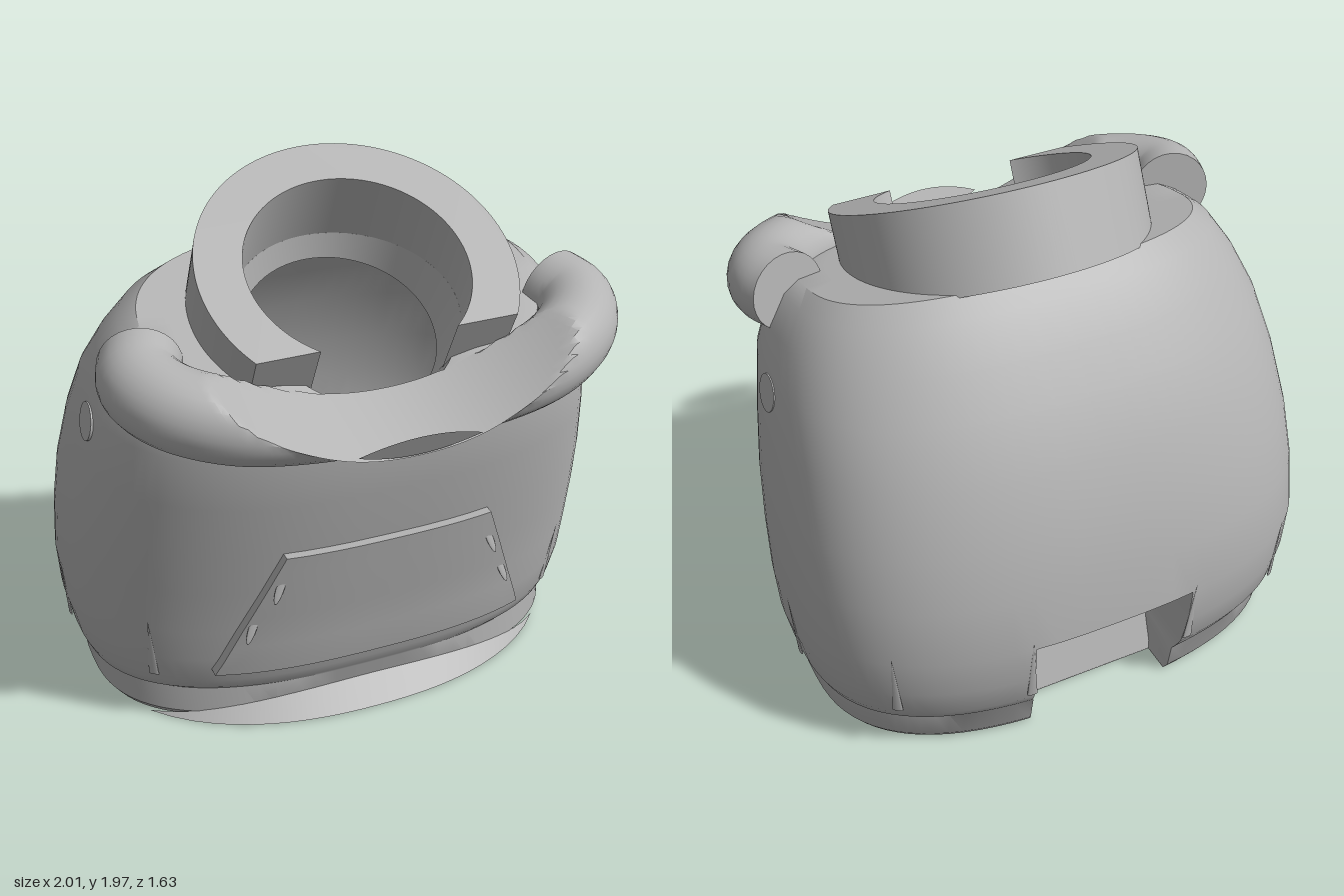
import * as THREE from 'three';
import { toCreasedNormals } from 'three/addons/utils/BufferGeometryUtils.js';

const grey = new THREE.MeshStandardMaterial({ color: 0xb4b4b4, side: THREE.DoubleSide });
grey.name = 'plain grey';

const COLS = 84, POWER = 2.6, NOTCH = 3, NOTCH_ROW = 6;

// Body cross-sections: half width, front z, front y, back z, back y
const LEVELS = [
  [.90, .37, 0, -.70, 0], [.92, .39, .03, -.72, .03], [.92, .39, .14, -.74, .14],
  [.945, .40, .155, -.75, .155], [.965, .42, .2, -.775, .2], [.99, .45, .32, -.80, .32],
  [1, .475, .46, -.815, .48], [.995, .52, .65, -.79, .7], [.98, .56, .83, -.74, .9],
  [.945, .61, 1.05, -.66, 1.13], [.905, .645, 1.25, -.56, 1.31], [.85, .645, 1.35, -.46, 1.46],
  [.78, .61, 1.42, -.36, 1.59], [.72, .57, 1.43, -.29, 1.65],
];
const V = (x, y, z) => new THREE.Vector3(x, y, z);
const spow = (v) => Math.sign(v) * Math.abs(v) ** (2 / POWER);

// Point on a cross-section; angle 0 is the back, growing towards +x
function sectionPoint([w, zf, yf, zb, yb], a) {
  const c = -spow(Math.cos(a));
  return V(w * spow(Math.sin(a)), (yf + yb) / 2 + c * (yf - yb) / 2, (zf + zb) / 2 + c * (zf - zb) / 2);
}
function levelAt(y) {
  let i = 0;
  while (i < LEVELS.length - 2 && (LEVELS[i + 1][2] + LEVELS[i + 1][4]) / 2 < y) i++;
  const mid = (l) => (l[2] + l[4]) / 2;
  const t = (y - mid(LEVELS[i])) / (mid(LEVELS[i + 1]) - mid(LEVELS[i]));
  return LEVELS[i].map((v, k) => v + (LEVELS[i + 1][k] - v) * t);
}
function frontZ(x, y) {
  const [w, zf, , zb] = levelAt(y);
  return (zf + zb) / 2 + (zf - zb) / 2 * (1 - Math.abs(x / w) ** POWER) ** (1 / POWER);
}

// Curved dip that lowers the neckline at the front
const dip = (x, z) => 1.325 + .2 * (x / .6) ** 2 - .36 * (z - .62);

// Skin over rows of points
function grid(rows, crease = .6, skip = () => false) {
  const W = rows[0].length, idx = [];
  for (let r = 0; r < rows.length - 1; r++) for (let j = 0; j < W - 1; j++) {
    if (skip(r, j)) continue;
    const a = r * W + j, b = a + W;
    idx.push(a, b, b + 1, a, b + 1, a + 1);
  }
  const g = new THREE.BufferGeometry().setFromPoints(rows.flat());
  g.setIndex(idx);
  return toCreasedNormals(g, crease);
}

// Tilted neck frame: u across, v forward, t down the bore
const TILT = .459, S = Math.sin(TILT), C = Math.cos(TILT);
const neckPoint = (u, v, t) => V(u, 1.72 - S * v - C * t, .257 + C * v - S * t);

export function createModel() {
  const model = new THREE.Group();
  const add = (name, geometry) => {
    const m = new THREE.Mesh(geometry, grey);
    m.name = name;
    model.add(m);
    return m;
  };
  const angles = Array.from({ length: COLS + 1 }, (_, j) => j / COLS * Math.PI * 2);

  // Body, slanted shoulder cap and neck bore in one skin
  const rows = LEVELS.map((l) => angles.map((a) => sectionPoint(l, a)));
  const rim = rows[rows.length - 1];
  const mouth = angles.map((a) => {
    const v = -.39 * Math.cos(a);
    return neckPoint(.39 * Math.sin(a), v, (.2098 - .214 * v) / 1.009);
  });
  for (const k of [.33, .67, 1]) rows.push(rim.map((p, j) => p.clone().lerp(mouth[j], k)));
  rows.push(angles.map((a) => neckPoint(.35 * Math.sin(a), -.35 * Math.cos(a), .38)));
  rows.slice(9).flat().forEach((p) => {
    if (p.z > 0) p.y = Math.min(p.y, dip(p.x, p.z) - .004);
  });
  add('body', grid(rows, .6, (r, j) => r < NOTCH_ROW && (j < NOTCH || j >= COLS - NOTCH)));

  // Recess at the lower back: sides, ceiling and sloping inner wall
  const at = (r, j) => rows[r][(j + COLS) % COLS].clone();
  const inner = (p) => V(p.x, p.y, -.58 + .33 * p.y);
  const edge = [];
  for (let r = 0; r < NOTCH_ROW; r++) edge.push(at(r, -NOTCH));
  for (let j = -NOTCH; j <= NOTCH; j++) edge.push(at(NOTCH_ROW, j));
  for (let r = NOTCH_ROW - 1; r >= 0; r--) edge.push(at(r, NOTCH));
  add('backRecessSides', grid([edge, edge.map(inner)]));
  const wall = [];
  for (let r = 0; r <= NOTCH_ROW; r++) wall.push([inner(at(r, -NOTCH)), inner(at(r, NOTCH))]);
  add('backRecessWall', grid(wall));

  // Base plate with the recess cut out and two round sockets
  const outline = [];
  for (let j = NOTCH; j <= COLS - NOTCH; j++) outline.push(new THREE.Vector2(rows[0][j].x, rows[0][j].z));
  for (const p of [inner(at(0, -NOTCH)), inner(at(0, NOTCH))]) outline.push(new THREE.Vector2(p.x, p.z));
  const base = new THREE.Shape(outline);
  for (const s of [-1, 1]) {
    base.holes.push(new THREE.Path().absarc(s * .55, .12, .085, 0, Math.PI * 2, true));
    add('baseSocketWall', new THREE.CylinderGeometry(.085, .085, .06, 28, 1, true)).position.set(s * .55, .03, .12);
    add('baseSocketEnd', new THREE.CircleGeometry(.085, 28).rotateX(Math.PI / 2)).position.set(s * .55, .06, .12);
  }
  add('basePlate', new THREE.ShapeGeometry(base, 28).rotateX(Math.PI / 2)).position.y = .002;

  // Flared lip at the front of the hem
  const lip = [[], []];
  for (let i = 0; i <= 24; i++) {
    const x = -.8 + i / 15, k = 1 - (x / .8) ** 2, z = frontZ(x, .04);
    lip[0].push(V(x, .002, z + .09 * k));
    lip[1].push(V(x, .002 + .085 * k, z));
  }
  add('hemLip', grid(lip));

  // Open collar ring, tilted forward and cut across the front
  const R = .555, r = .39, cut = .305;
  const A = Math.asin(cut / R), a = Math.asin(cut / r);
  const ring = new THREE.Shape();
  ring.absarc(0, 0, R, -A, Math.PI + A, false);
  ring.absarc(0, 0, r, Math.PI + a, -a, true);
  const collar = new THREE.ExtrudeGeometry(ring, { depth: .31, bevelEnabled: false, curveSegments: 64 });
  collar.translate(0, 0, -.31).rotateX(-Math.PI / 2 + TILT).translate(0, 1.72, .257);
  add('collar', toCreasedNormals(collar, .5));

  // Rolled horseshoe around the neck, with its top dipped at the front
  const half = [[.76, 1.49, .22], [.79, 1.475, .33], [.73, 1.45, .46], [.56, 1.42, .575], [.3, 1.395, .62]];
  const path = [...half.map((p) => V(...p)), V(0, 1.39, .625), ...half.map(([x, y, z]) => V(-x, y, z)).reverse()];
  const curve = new THREE.CatmullRomCurve3(path);
  const roll = new THREE.TubeGeometry(curve, 90, .142, 28, false);
  const pos = roll.attributes.position;
  for (let i = 0; i < pos.count; i++) {
    const x = pos.getX(i);
    if (Math.abs(x) < .64) pos.setY(i, Math.min(pos.getY(i), dip(x, pos.getZ(i))));
  }
  add('neckRoll', toCreasedNormals(roll, .5));
  for (const t of [0, 1]) {
    const end = add('neckRollEnd', new THREE.CircleGeometry(.142, 28));
    end.position.copy(curve.getPoint(t));
    end.lookAt(end.position.clone().addScaledVector(curve.getTangent(t), t ? 1 : -1));
  }

  // Small lens-shaped tab in front of the roll
  const tab = [[], [], []];
  for (let i = 0; i <= 16; i++) {
    const x = -.22 + i * .0275, k = 1 - (x / .22) ** 2;
    [-1, 0, 1].forEach((s, n) => tab[n].push(V(x, 1.325 + s * .047 * k, .79 + s * .022 * k)));
  }
  add('frontTab', grid(tab));

  // Trapezoid pocket bent around the front
  const pocket = new THREE.BoxGeometry(1, 1, 1, 20, 8, 1), pp = pocket.attributes.position;
  for (let i = 0; i < pp.count; i++) {
    const v = pp.getY(i) + .5, y = .27 + .565 * v, x = pp.getX(i) * 2 * (.605 - .22 * v);
    pp.setXYZ(i, x, y, frontZ(x, y) + (pp.getZ(i) > 0 ? .04 : -.03));
  }
  add('pocket', toCreasedNormals(pocket, .5));

  for (const s of [-1, 1]) {
    // Pocket slits
    for (const [x, y] of [[.4, .7], [.485, .51]]) {
      const slit = add('pocketSlit', new THREE.SphereGeometry(1, 12, 8).scale(.015, .068, .004));
      slit.position.set(s * x, y, frontZ(x, y) + .041);
      slit.rotation.set(-.2, s * .25, s * .37);
    }
    // Hem darts
    for (const angle of [.235, .83, 1.55, 2.28]) {
      const [lo, hi, side] = [[.23, angle], [.51, angle], [.37, angle + .03]]
        .map(([y, t]) => sectionPoint(levelAt(y), t));
      const up = hi.clone().sub(lo).normalize();
      const across = side.sub(sectionPoint(levelAt(.37), angle)).normalize();
      const out = across.clone().cross(up).normalize();
      const m = new THREE.Matrix4().makeBasis(up.clone().cross(out), up, out);
      const dart = new THREE.ConeGeometry(.02, .28, 10).scale(1, 1, .25).applyMatrix4(m);
      if (s < 0) dart.scale(-1, 1, 1);
      const c = sectionPoint(levelAt(.37), angle);
      add('hemDart', dart).position.set(s * c.x, c.y, c.z);
    }
    // Round side buttons
    const button = add('sideButton', new THREE.CylinderGeometry(.068, .068, .009, 32).rotateZ(Math.PI / 2));
    button.position.set(s * .918, 1.215, .06);
    button.rotation.z = s * .2;
  }
  return model;
}
